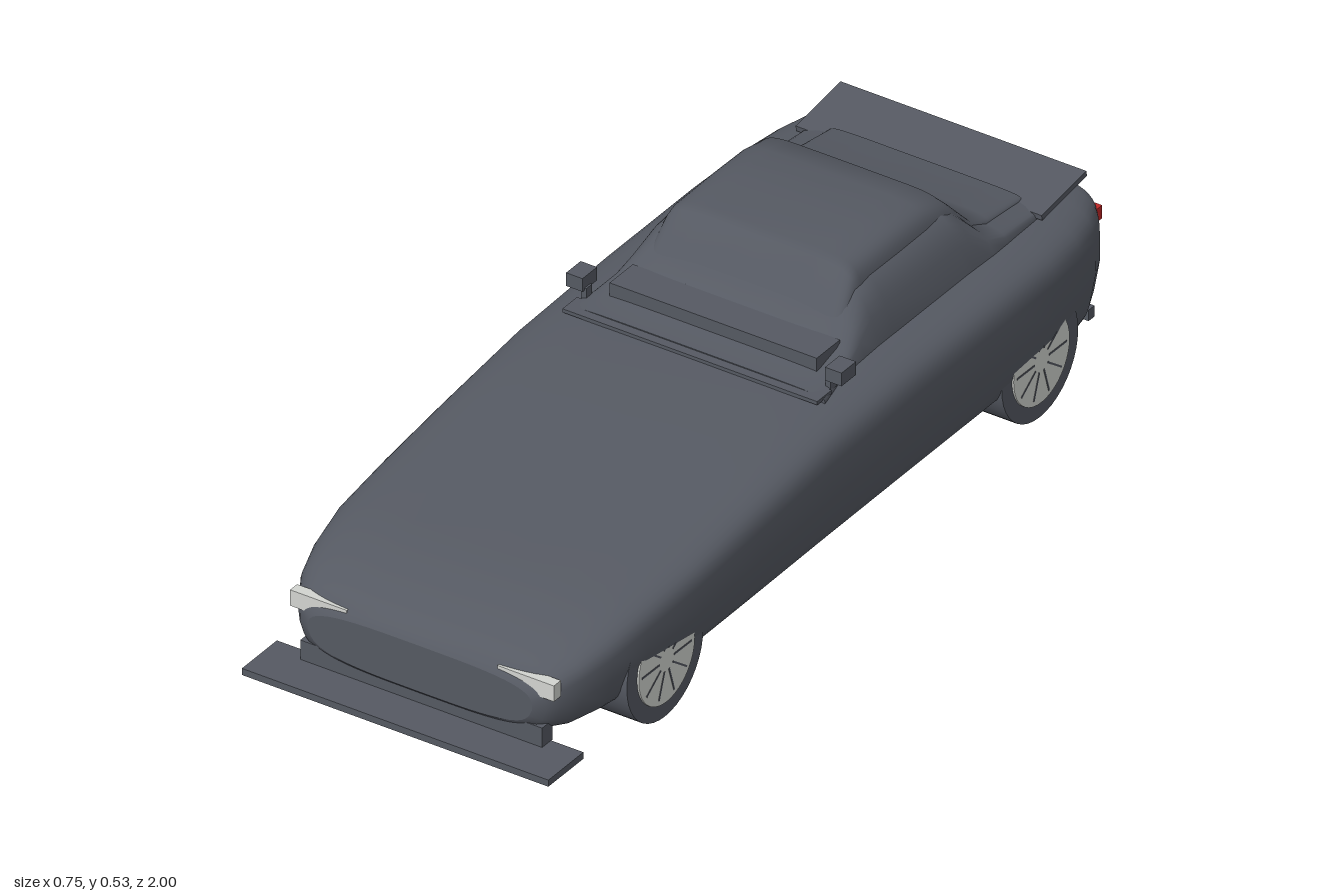
import * as THREE from 'three';

// Rounded closed ring at one z station; bottomTaper/topTaper pull the sides in.
function ring(z, w, y0, y1, n, bottomTaper, topTaper) {
  const pts = [], N = 48, cy = (y0 + y1) / 2, h = (y1 - y0) / 2;
  for (let j = 0; j < N; j++) {
    const a = (j / N) * Math.PI * 2, c = Math.cos(a), s = Math.sin(a);
    const t = Math.sign(s) * Math.pow(Math.abs(s), 2 / n);
    const k = t < 0 ? 1 + bottomTaper * t : 1 - topTaper * t;
    pts.push([Math.sign(c) * Math.pow(Math.abs(c), 2 / n) * w * k, cy + h * t, z]);
  }
  return pts;
}

// Smooth skin over rings listed front to back, with flat end caps.
function loft(rings) {
  const N = rings[0].length, pos = rings.flat(2), idx = [];
  for (let i = 0; i < rings.length - 1; i++) {
    for (let j = 0; j < N; j++) {
      const k = (j + 1) % N, a = i * N + j, b = i * N + k, c = a + N, d = b + N;
      idx.push(a, c, b, b, c, d);
    }
  }
  [rings[0], rings[rings.length - 1]].forEach((r, e) => {
    const base = pos.length / 3;
    const cy = r.reduce((s, p) => s + p[1], 0) / N;
    pos.push(...r.flat(), 0, cy, r[0][2]);
    for (let j = 0; j < N; j++) {
      const a = base + j, b = base + ((j + 1) % N);
      if (e === 0) idx.push(base + N, a, b);
      else idx.push(base + N, b, a);
    }
  });
  const g = new THREE.BufferGeometry();
  g.setAttribute('position', new THREE.Float32BufferAttribute(pos, 3));
  g.setIndex(idx);
  g.computeVertexNormals();
  return g;
}

export function createModel() {
  const paint = new THREE.MeshStandardMaterial({ color: 0x555962 });
  paint.name = 'dark grey paint';
  const silver = new THREE.MeshStandardMaterial({ color: 0xd2d4d0 });
  silver.name = 'light silver';
  const red = new THREE.MeshStandardMaterial({ color: 0xc02626 });
  red.name = 'tail light red';

  const car = new THREE.Group();
  car.name = 'car';
  const add = (name, geo, mat, x = 0, y = 0, z = 0, parent = car) => {
    const m = new THREE.Mesh(geo, mat);
    m.name = name;
    m.position.set(x, y, z);
    parent.add(m);
    return m;
  };
  const box = (name, mat, w, h, d, x, y, z, parent) =>
    add(name, new THREE.BoxGeometry(w, h, d), mat, x, y, z, parent);

  // Main body: z, half width, bottom, top, squareness
  const hull = [
    [0.915, 0.26, 0.095, 0.2, 3.5], [0.905, 0.285, 0.083, 0.216, 4],
    [0.88, 0.305, 0.072, 0.235, 4.5], [0.84, 0.328, 0.066, 0.252, 5],
    [0.77, 0.348, 0.062, 0.275, 5], [0.67, 0.362, 0.06, 0.295, 5.5],
    [0.5, 0.37, 0.06, 0.31, 6], [0.3, 0.372, 0.06, 0.335, 6],
    [0.05, 0.373, 0.06, 0.363, 6], [-0.25, 0.373, 0.06, 0.372, 6],
    [-0.55, 0.373, 0.06, 0.372, 6], [-0.72, 0.37, 0.058, 0.368, 6],
    [-0.82, 0.36, 0.057, 0.365, 6], [-0.89, 0.345, 0.058, 0.362, 6],
    [-0.94, 0.322, 0.064, 0.36, 6], [-0.96, 0.305, 0.07, 0.358, 6],
  ];
  add('body', loft(hull.map(([z, w, b, t, n]) => ring(z, w, b, t, n, 0.08, 0))), paint);

  // Cabin: wide outer frame and narrower raised glass and roof
  const frame = [
    [-0.03, 0.3, 0.374], [-0.1, 0.285, 0.382], [-0.16, 0.28, 0.402], [-0.2, 0.28, 0.44],
    [-0.25, 0.28, 0.498], [-0.3, 0.28, 0.506], [-0.55, 0.28, 0.506], [-0.585, 0.28, 0.49],
    [-0.64, 0.28, 0.42], [-0.69, 0.278, 0.396], [-0.82, 0.27, 0.378],
  ];
  add('cabinFrame', loft(frame.map(([z, w, t]) =>
    ring(z, w, 0.72 - t, t, 5, 0, 0.17 * Math.min(1, (t - 0.37) / 0.12)))), paint);
  const roof = [
    [-0.185, 0.236, 0.421], [-0.2, 0.236, 0.44], [-0.25, 0.236, 0.516], [-0.27, 0.236, 0.525],
    [-0.4, 0.236, 0.527], [-0.5, 0.236, 0.525], [-0.57, 0.236, 0.51], [-0.6, 0.236, 0.48],
    [-0.65, 0.234, 0.423], [-0.7, 0.232, 0.405], [-0.82, 0.225, 0.386],
  ];
  add('glassAndRoof', loft(roof.map(([z, w, t]) =>
    ring(z, w, 0.72 - t, t, 8, 0, 0.08 * Math.min(1, (t - 0.37) / 0.13)))), paint);
  box('cowl', paint, 0.48, 0.035, 0.08, 0, 0.391, -0.13);
  box('cowlPlate', paint, 0.59, 0.008, 0.05, 0, 0.368, -0.005 - 0.03);

  // Front splitter and chin
  box('splitter', paint, 0.71, 0.015, 0.12, 0, 0.0595, 0.94);
  box('chin', paint, 0.56, 0.045, 0.035, 0, 0.0885, 0.893);

  // Rear wing, tilted up at the back, and rear bumper
  box('rearWing', paint, 0.57, 0.012, 0.155, 0, 0.38, -0.872).rotation.x = 0.13;
  box('rearBumper', paint, 0.58, 0.025, 0.02, 0, 0.068, -0.958);

  // Paired details
  for (const s of [1, -1]) {
    box('headlight', silver, 0.131, 0.036, 0.024, s * 0.24, 0.197, 0.896);
    box('mirror', paint, 0.038, 0.03, 0.05, s * 0.3, 0.405, -0.083);
    box('mirrorArm', paint, 0.012, 0.03, 0.02, s * 0.283, 0.38, -0.075);
    box('tailLight', red, 0.024, 0.03, 0.024, s * 0.295, 0.3, -0.957);
    add('exhaust', new THREE.CylinderGeometry(0.016, 0.016, 0.07, 16), silver, s * 0.185, 0.092, -0.965)
      .rotation.x = Math.PI / 2;

    // Wheels: tyre, disc and thin spoke gaps
    for (const z of [0.6, -0.685]) {
      const wheel = new THREE.Group();
      wheel.name = z > 0 ? 'frontWheel' : 'rearWheel';
      wheel.position.set(s * 0.305, 0.131, z);
      car.add(wheel);
      add('tyre', new THREE.CylinderGeometry(0.131, 0.131, 0.1, 40), paint, 0, 0, 0, wheel)
        .rotation.z = Math.PI / 2;
      add('rim', new THREE.CylinderGeometry(0.096, 0.096, 0.008, 40), silver, s * 0.05, 0, 0, wheel)
        .rotation.z = Math.PI / 2;
      for (let i = 0; i < 10; i++) {
        const a = (i / 10) * Math.PI * 2 + 0.3;
        box('spokeGap', paint, 0.004, 0.06, 0.004, s * 0.053, Math.cos(a) * 0.055, Math.sin(a) * 0.055, wheel)
          .rotation.x = a;
      }
    }
  }
  return car;
}
